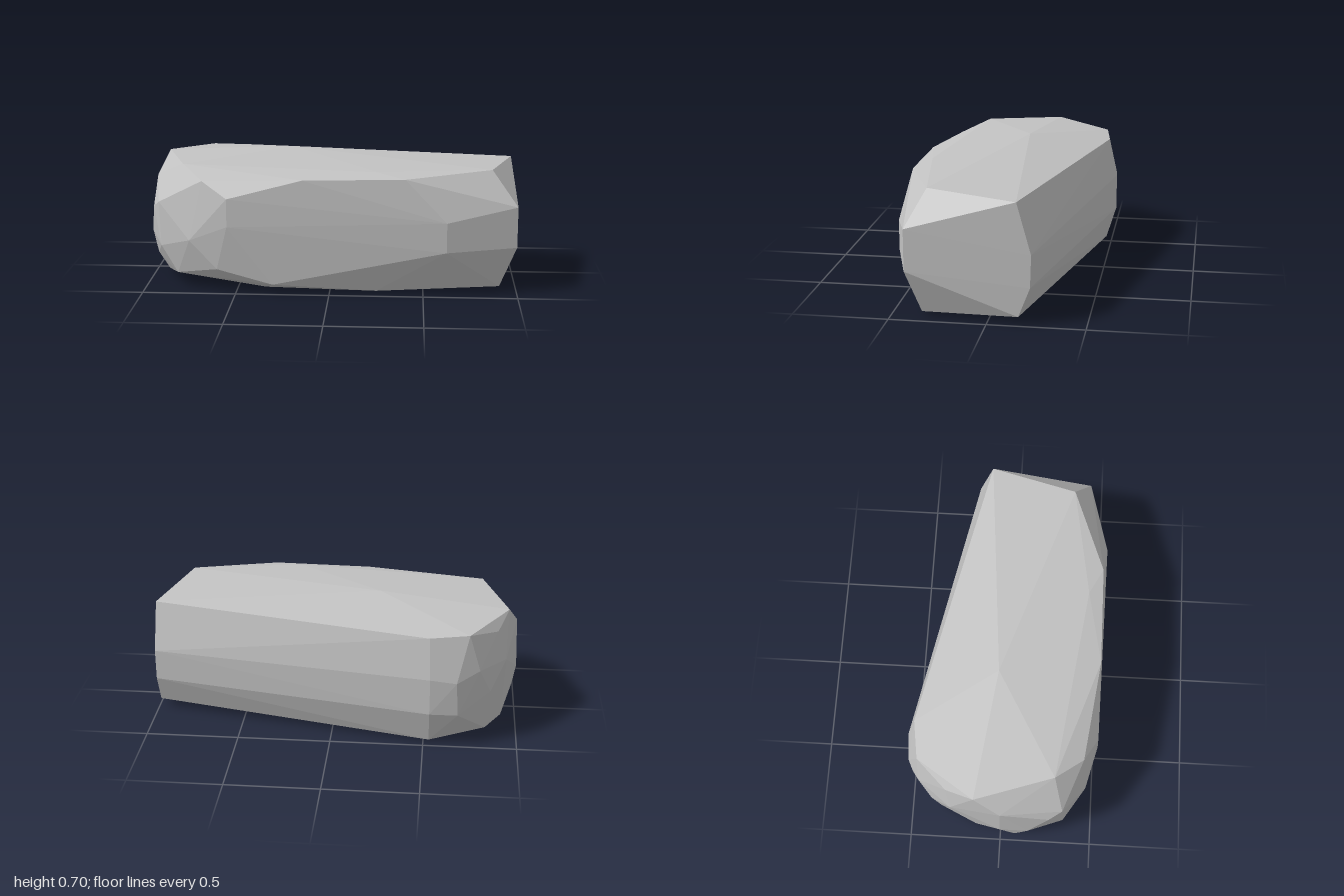
import * as THREE from 'three';
import { ConvexGeometry } from 'three/addons/geometries/ConvexGeometry.js';

export function createModel() {
  const group = new THREE.Group();
  group.name = 'rock';
  const stone = new THREE.MeshStandardMaterial({ color: 0xc2c2c2 });
  stone.name = 'light grey stone';

  // Corners of the faceted boulder, grouped by side
  const flatEnd = [
    [0.99, 0.635, -0.15], [0.995, 0.475, 0.415], [0.995, 0.255, 0.415],
    [0.99, 0.045, -0.16], [0.995, 0.2, -0.22], [0.995, 0.37, -0.225],
    [0.86, 0.655, 0.32], [0.91, 0.02, 0.345],
  ];
  const front = [
    [0.62, 0.41, 0.525], [0.62, 0.25, 0.525], [0.4, 0.635, 0.495], [-0.14, 0.625, 0.5],
    [-0.54, 0.52, 0.505], [-0.54, 0.37, 0.51], [-0.6, 0.13, 0.48], [-0.3, 0.055, 0.5],
    [-0.68, 0.6, 0.43], [-0.75, 0.28, 0.455],
  ];
  const top = [
    [-0.24, 0.7, -0.045], [-0.52, 0.62, -0.48], [-0.73, 0.63, -0.45],
    [-0.94, 0.655, -0.14], [-0.8, 0.66, 0.28], [0.25, 0.657, 0.42],
  ];
  const back = [
    [-0.53, 0.4, -0.525], [-0.53, 0.2, -0.525], [-0.67, 0.38, -0.515], [-0.68, 0.19, -0.505],
    [-0.79, 0.43, -0.45], [-0.85, 0.28, -0.38],
  ];
  const roundEnd = [
    [-0.88, 0.59, -0.29], [-0.93, 0.42, -0.27], [-0.99, 0.54, 0], [-1, 0.26, 0], [-1, 0.26, 0.15],
    [-0.97, 0.42, 0.26], [-0.93, 0.46, 0.33], [-0.92, 0.22, 0.34], [-0.985, 0.11, 0.08],
    [-0.83, 0.075, 0.36],
  ];
  const bottom = [
    [-0.53, 0.02, -0.47], [-0.83, 0.04, -0.34], [-0.92, 0.02, -0.14], [-0.92, 0.02, 0.1],
    [0.25, 0.015, 0.45], [-0.35, 0.003, 0.37], [-0.4, 0, -0.15], [0.4, 0, 0.15],
  ];

  const points = [...flatEnd, ...front, ...top, ...back, ...roundEnd, ...bottom]
    .map((p) => new THREE.Vector3(...p));
  const boulder = new THREE.Mesh(new ConvexGeometry(points), stone);
  boulder.name = 'boulder';
  group.add(boulder);
  return group;
}
